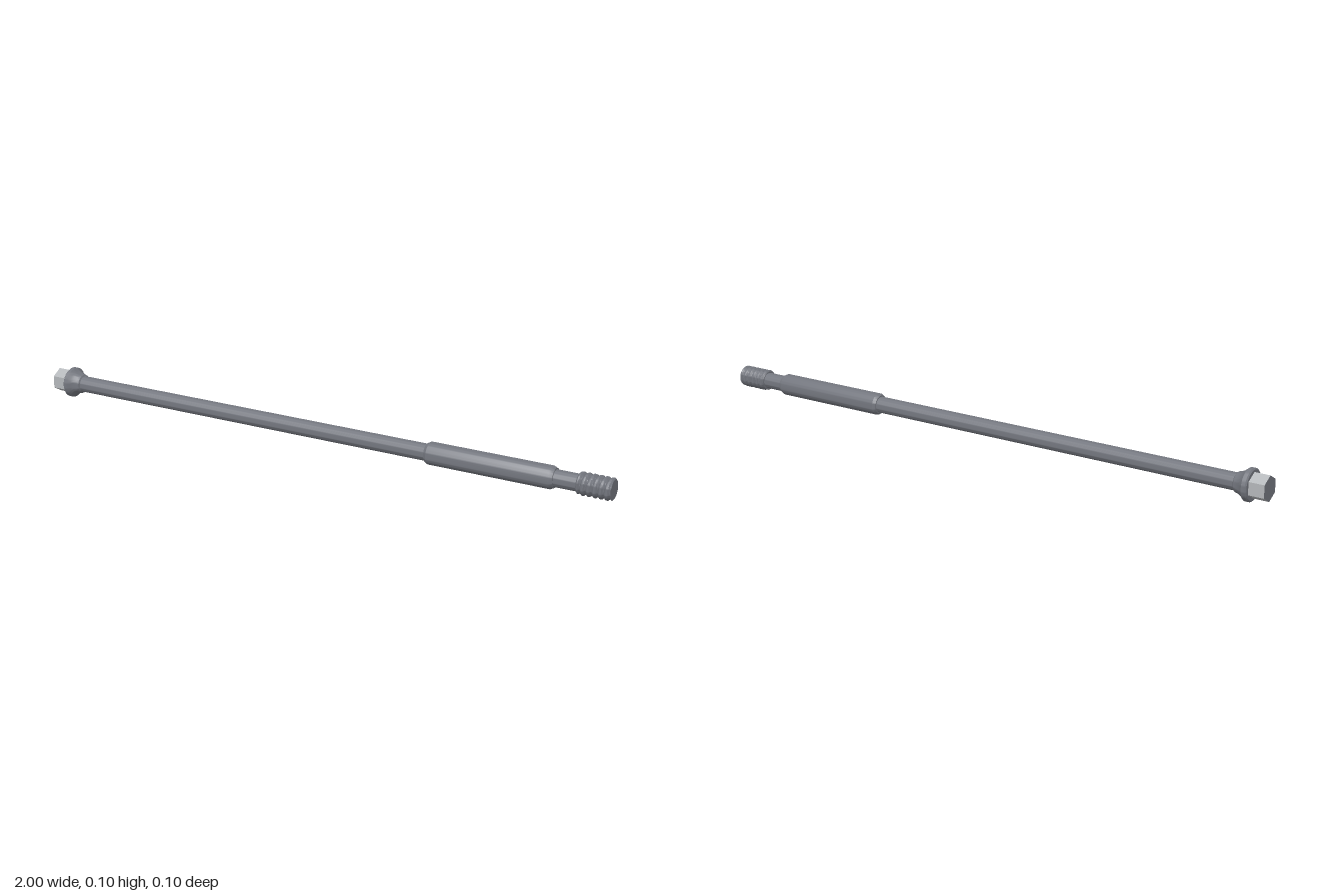
import * as THREE from 'three';
import { toCreasedNormals } from 'three/addons/utils/BufferGeometryUtils.js';

const AXIS_Y = 0.0505;

export function createModel() {
  const model = new THREE.Group();
  const steel = new THREE.MeshStandardMaterial({ color: 0x74777f });
  const brightSteel = new THREE.MeshStandardMaterial({ color: 0xb4b7ba });

  // Parts are built along +y, then the whole bolt is laid along +x.
  const bolt = new THREE.Group();
  bolt.name = 'bolt';
  bolt.rotation.z = -Math.PI / 2;
  bolt.position.y = AXIS_Y;
  model.add(bolt);

  const add = (name, geometry, material = steel) => {
    const mesh = new THREE.Mesh(geometry, material);
    mesh.name = name;
    bolt.add(mesh);
    return mesh;
  };

  // Turned part from [position along the bolt, radius] pairs
  const turned = (name, profile) => {
    const points = profile.map(([x, r]) => new THREE.Vector2(r, x));
    add(name, toCreasedNormals(new THREE.LatheGeometry(points, 48), 0.45));
  };

  // Hexagonal head: bright flats, plain end face
  const hex = new THREE.CylinderGeometry(0.04, 0.04, 0.056, 6, 1, true, Math.PI / 2);
  add('hexHead', toCreasedNormals(hex, 0.3), brightSteel).position.y = -0.972;
  const cap = new THREE.CircleGeometry(0.04, 6);
  cap.rotateX(Math.PI / 2);
  add('hexHeadEnd', cap).position.y = -1;

  // Flange with a curved fillet running down to the shank
  turned('flange', [
    [-0.95, 0], [-0.95, 0.046], [-0.946, 0.05], [-0.934, 0.05],
    [-0.926, 0.043], [-0.918, 0.037], [-0.908, 0.033], [-0.9, 0.031], [-0.896, 0.026],
  ]);

  turned('shank', [[-0.91, 0.0265], [0.42, 0.0265]]);

  // Thicker sleeve with chamfered ends
  turned('sleeve', [
    [0.402, 0.024], [0.402, 0.03], [0.412, 0.0355],
    [0.808, 0.0355], [0.82, 0.03], [0.82, 0.024],
  ]);

  turned('neck', [[0.81, 0.0265], [0.9, 0.0265]]);

  // Helical thread: the radius follows a triangle wave along the helix
  const start = 0.893, length = 1 - start, pitch = 0.0185;
  const thread = new THREE.CylinderGeometry(1, 1, length, 48, 48);
  const p = thread.attributes.position;
  for (let i = 0; i < p.count; i++) {
    const x = p.getX(i), y = p.getY(i), z = p.getZ(i);
    if (Math.hypot(x, z) < 0.5) continue;
    const phase = y / pitch - Math.atan2(z, x) / (2 * Math.PI);
    const wave = Math.abs(2 * (phase - Math.floor(phase)) - 1);
    const crest = 0.0285 + 0.0065 * Math.min(1, wave * 1.5);
    const fromEnd = length / 2 - Math.abs(y);
    const r = Math.min(crest, 0.031 + fromEnd);
    p.setXYZ(i, x * r, y, z * r);
  }
  add('thread', toCreasedNormals(thread, 0.6)).position.y = start + length / 2;

  return model;
}
